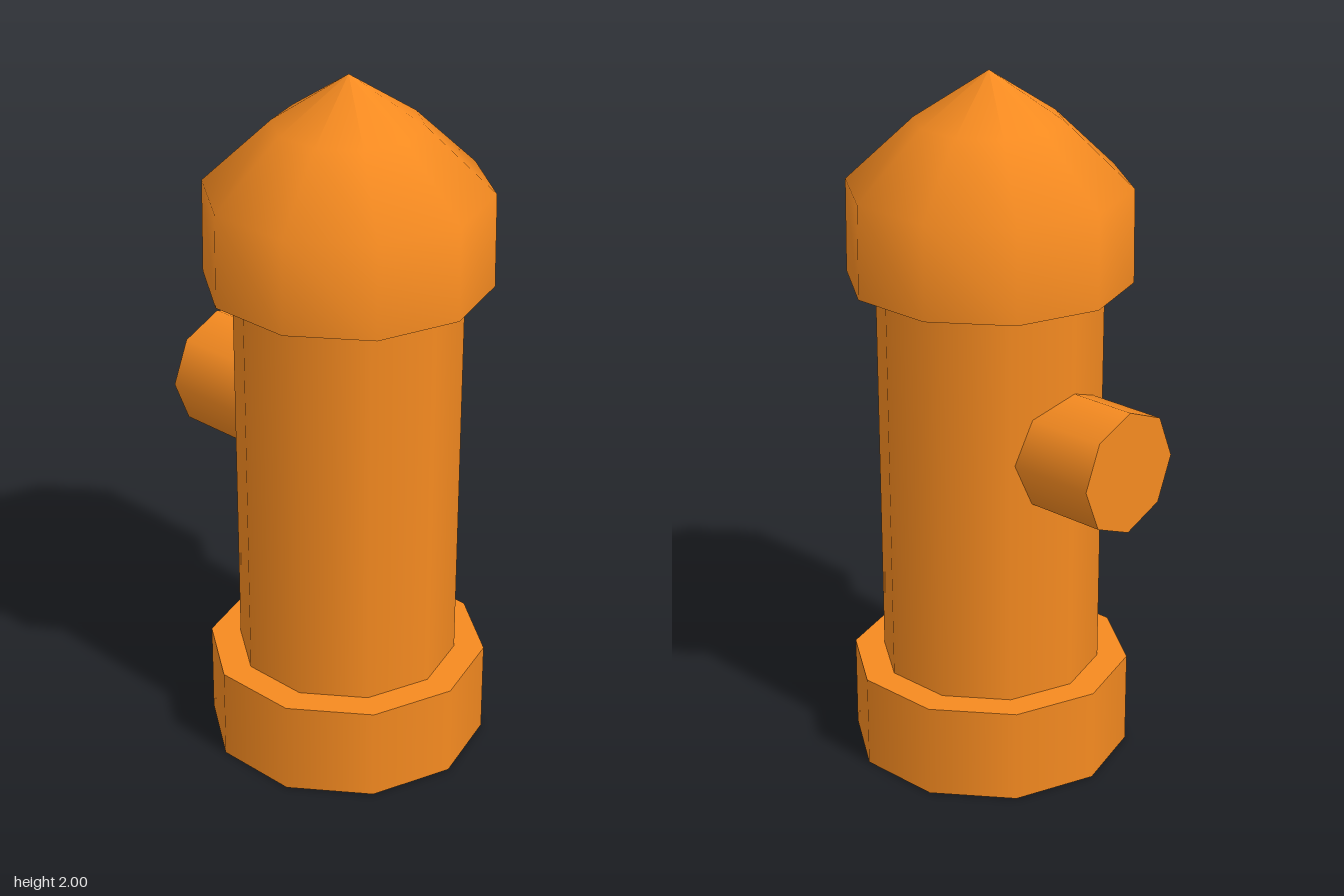
import * as THREE from 'three';

const AXIS_X = 0.055; // the column stands off-centre to balance the nozzle
const SIDES = 10;

export function createModel() {
  const model = new THREE.Group();
  const material = new THREE.MeshStandardMaterial({ color: 0xf58a20 });

  function add(name, geometry, x, y, parent = model) {
    const mesh = new THREE.Mesh(geometry, material);
    mesh.name = name;
    mesh.position.set(x, y, 0);
    parent.add(mesh);
    return mesh;
  }

  // Ten-sided upright drum with a corner pointing along +x
  function drum(name, rTop, rBottom, y0, y1) {
    const geometry = new THREE.CylinderGeometry(rTop, rBottom, y1 - y0, SIDES, 1, false, Math.PI / 2);
    return add(name, geometry, AXIS_X, (y0 + y1) / 2);
  }

  drum('base', 0.4, 0.4, 0, 0.27);
  drum('barrel', 0.318, 0.314, 0.25, 1.44);

  // Domed cap: short wall flowing into a two-step pointed dome
  const cap = new THREE.Group();
  cap.name = 'cap';
  model.add(cap);
  const profile = [[0.398, 1.42], [0.395, 1.685], [0.205, 1.865], [0, 2]]
    .map(([r, y]) => new THREE.Vector2(r, y));
  add('capDome', new THREE.LatheGeometry(profile, SIDES, Math.PI / 2), AXIS_X, 0, cap);
  const underside = add('capUnderside', new THREE.CircleGeometry(0.398, SIDES), AXIS_X, 1.42, cap);
  underside.rotation.x = Math.PI / 2;

  // Eight-sided nozzle pushed into the model's right side
  const nozzle = add('nozzle', new THREE.CylinderGeometry(0.175, 0.175, 0.36, 8), -0.28, 0.985);
  nozzle.rotation.z = Math.PI / 2;

  return model;
}
